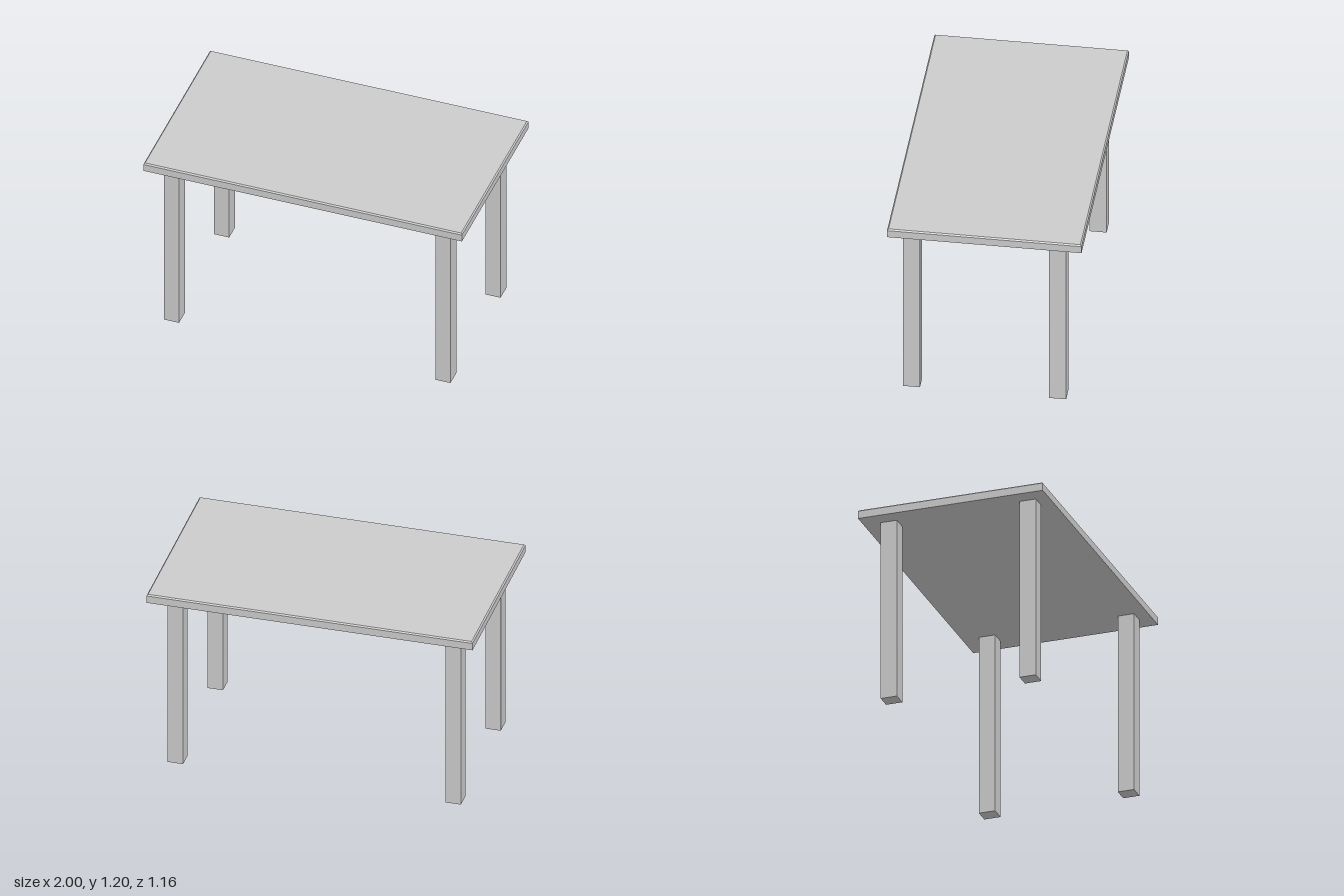
import * as THREE from 'three';

const material = new THREE.MeshStandardMaterial({ color: 0xcccccc, flatShading: true });

// Slab whose upper edges are cut by a small chamfer
function chamferedSlab(width, height, depth, chamfer) {
  const box = new THREE.BoxGeometry(width, height, depth, 1, 2, 1);
  const pos = box.attributes.position;
  for (let i = 0; i < pos.count; i++) {
    const y = pos.getY(i);
    if (Math.abs(y) < 1e-6) {
      pos.setY(i, height / 2 - chamfer);
    } else if (y > 0) {
      pos.setX(i, pos.getX(i) - Math.sign(pos.getX(i)) * chamfer);
      pos.setZ(i, pos.getZ(i) - Math.sign(pos.getZ(i)) * chamfer);
    }
  }
  const geometry = box.toNonIndexed();
  geometry.computeVertexNormals();
  return geometry;
}

export function createModel() {
  const table = new THREE.Group();
  table.name = 'table';

  const height = 1.2, thickness = 0.055;
  const legHeight = height - thickness;

  // Table top
  const top = new THREE.Mesh(chamferedSlab(2, thickness, 1.16, 0.008), material);
  top.name = 'tableTop';
  top.position.y = height - thickness / 2;
  table.add(top);

  // Four square legs; the back pair stands slightly further in
  const legGeometry = new THREE.BoxGeometry(0.094, legHeight, 0.102);
  for (const [row, z] of [['front', 0.449], ['back', -0.423]]) {
    for (const [side, x] of [['Left', 0.852], ['Right', -0.852]]) {
      const leg = new THREE.Mesh(legGeometry, material);
      leg.name = `${row}${side}Leg`;
      leg.position.set(x, legHeight / 2, z);
      table.add(leg);
    }
  }
  return table;
}
